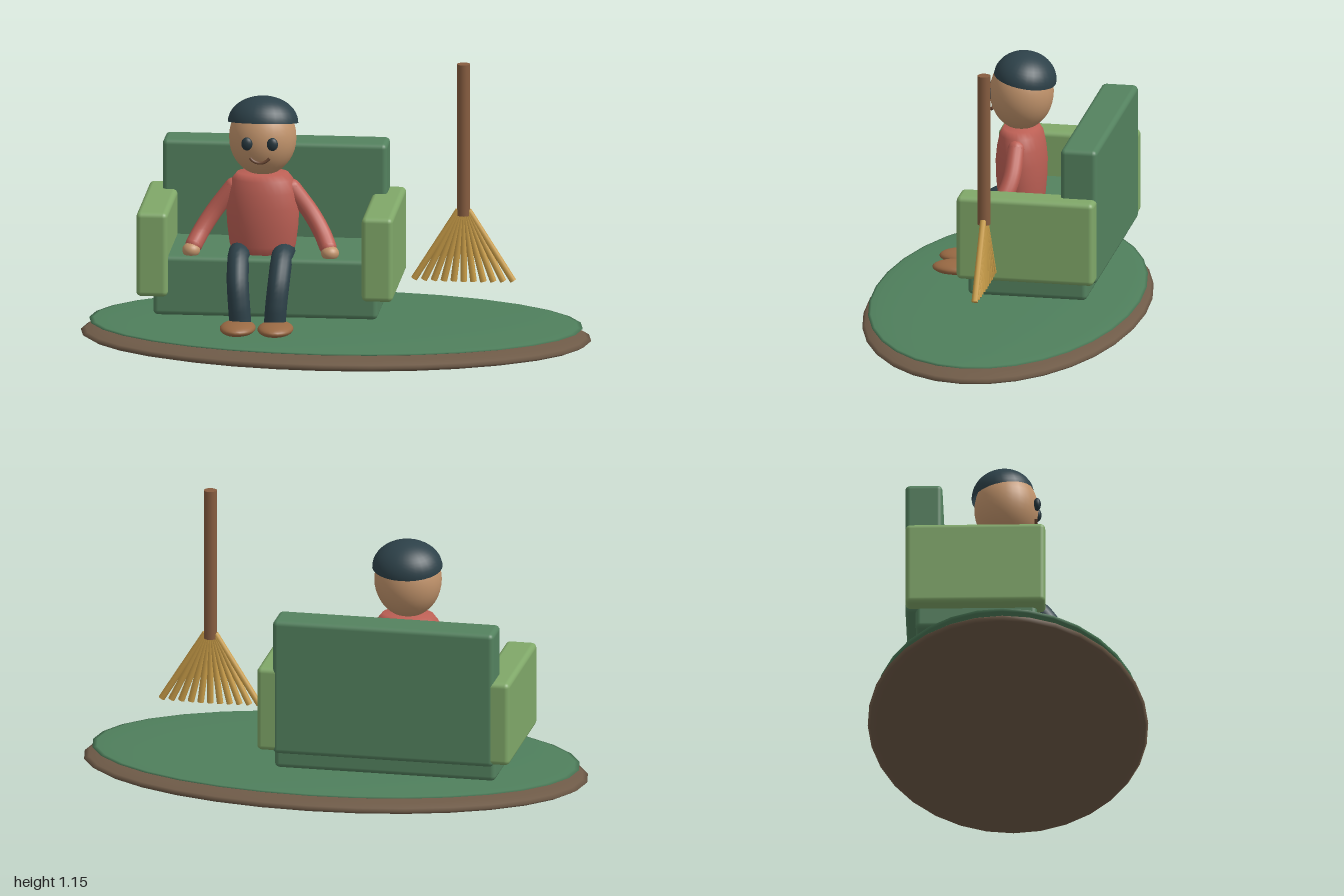
import * as THREE from 'three';
import { RoundedBoxGeometry } from 'three/addons/geometries/RoundedBoxGeometry.js';

const mat = (color) => new THREE.MeshStandardMaterial({ color });
const M = {
  earth: mat(0x6f5b48), rug: mat(0x4f7f5c), sofa: mat(0x54825f), arm: mat(0x80a869),
  skin: mat(0xc2946c), shirt: mat(0xbd6055), navy: mat(0x2d4149), eye: mat(0x26363d),
  shoe: mat(0x9a6a44), wood: mat(0x875d40), straw: mat(0xcda04a), mouth: mat(0x6e4a35),
};

function add(parent, name, geometry, material, x = 0, y = 0, z = 0) {
  const mesh = new THREE.Mesh(geometry, material);
  mesh.name = name;
  mesh.position.set(x, y, z);
  parent.add(mesh);
  return mesh;
}

const ellipsoid = (rx, ry, rz, w = 24, h = 16) => new THREE.SphereGeometry(1, w, h).scale(rx, ry, rz);

// Rounded box given by its limits on each axis
function block(parent, name, material, [x0, x1], [y0, y1], [z0, z1]) {
  const g = new RoundedBoxGeometry(x1 - x0, y1 - y0, z1 - z0, 3, 0.02);
  return add(parent, name, g, material, (x0 + x1) / 2, (y0 + y1) / 2, (z0 + z1) / 2);
}

// Round limb along a smooth path, with ball ends
function limb(parent, name, material, points, radius) {
  const pts = points.map((p) => new THREE.Vector3(...p));
  const curve = new THREE.CatmullRomCurve3(pts);
  add(parent, name, new THREE.TubeGeometry(curve, 16, radius, 14), material);
  for (const p of [pts[0], pts[pts.length - 1]]) {
    add(parent, name + 'End', ellipsoid(radius, radius, radius, 14, 10), material, p.x, p.y, p.z);
  }
}

// Straight rod between two points
function rod(parent, name, material, a, b, r0, r1, sides) {
  const start = new THREE.Vector3(...a), dir = new THREE.Vector3(...b).sub(start);
  const mesh = add(parent, name, new THREE.CylinderGeometry(r1, r0, dir.length(), sides), material);
  mesh.position.copy(start).addScaledVector(dir, 0.5);
  mesh.quaternion.setFromUnitVectors(new THREE.Vector3(0, 1, 0), dir.normalize());
}

function createGround() {
  const g = new THREE.Group();
  g.name = 'ground';
  add(g, 'earthBase', ellipsoid(1, 0.055, 0.547, 32, 16), M.earth, 0, 0.057);
  add(g, 'rug', ellipsoid(0.967, 0.018, 0.525, 32, 16), M.rug, 0, 0.105);
  return g;
}

function createSofa() {
  const g = new THREE.Group();
  g.name = 'sofa';
  block(g, 'seat', M.sofa, [-0.705, 0.175], [0.15, 0.388], [-0.345, 0.128]);
  block(g, 'backrest', M.sofa, [-0.705, 0.175], [0.22, 0.765], [-0.385, -0.24]);
  block(g, 'rightArmrest', M.arm, [-0.768, -0.645], [0.23, 0.567], [-0.383, 0.162]);
  block(g, 'leftArmrest', M.arm, [0.115, 0.238], [0.23, 0.567], [-0.383, 0.162]);
  return g;
}

function createFigure() {
  const g = new THREE.Group();
  g.name = 'figure';
  g.position.x = -0.287;

  // Torso, oval in plan
  const profile = [[0, 0.37], [0.115, 0.375], [0.13, 0.42], [0.14, 0.5], [0.143, 0.57],
    [0.135, 0.63], [0.12, 0.68], [0.1, 0.705], [0, 0.712]].map((p) => new THREE.Vector2(...p));
  add(g, 'torso', new THREE.LatheGeometry(profile, 28).scale(1, 1, 0.7), M.shirt);

  // Head, hair tilted back, face
  add(g, 'head', ellipsoid(0.132, 0.15, 0.125, 28, 20), M.skin, 0, 0.845, 0);
  const cap = new THREE.SphereGeometry(1, 28, 12, 0, Math.PI * 2, 0, Math.PI / 2).scale(0.138, 0.104, 0.123);
  const hair = add(g, 'hair', cap, M.navy, 0, 0.901, -0.013);
  hair.rotation.x = -0.18;
  hair.material = M.navy.clone();
  hair.material.side = THREE.DoubleSide;
  const smile = add(g, 'mouth', new THREE.TorusGeometry(0.045, 0.006, 8, 16, 2), M.mouth, 0, 0.813, 0.117);
  smile.rotation.z = -Math.PI / 2 - 1;

  for (const s of [-1, 1]) {
    const side = s > 0 ? 'left' : 'right';
    add(g, side + 'Eye', ellipsoid(0.022, 0.026, 0.015, 16, 12), M.eye, s * 0.05, 0.845, 0.121);
    limb(g, side + 'Arm', M.shirt,
      [[s * 0.115, 0.645, 0], [s * 0.19, 0.545, 0.005], [s * 0.235, 0.475, 0.03], [s * 0.262, 0.425, 0.065]], 0.034);
    add(g, side + 'Hand', ellipsoid(0.035, 0.03, 0.034), M.skin, s * 0.272, 0.405, 0.083);
    limb(g, side + 'Leg', M.navy,
      [[s * 0.085, 0.39, 0], [s * 0.085, 0.385, 0.1], [s * 0.08, 0.3, 0.178], [s * 0.073, 0.22, 0.2], [s * 0.068, 0.15, 0.202]], 0.043);
    add(g, side + 'Shoe', ellipsoid(0.07, 0.027, 0.101), M.shoe, s * 0.074, 0.134, 0.239);
  }
  return g;
}

function createBroom() {
  const g = new THREE.Group();
  g.name = 'broom';
  g.position.x = 0.5;
  rod(g, 'handle', M.wood, [0, 0.55, 0], [0, 1.157, 0], 0.026, 0.026, 12);
  // Fan of straws
  const count = 11;
  for (let i = 0; i < count; i++) {
    const t = (i / (count - 1)) * 2 - 1;
    rod(g, 'straw', M.straw, [t * 0.194, 0.285 + 0.006 * t * t, 0], [t * 0.02, 0.57, 0], 0.013, 0.012, 8);
  }
  return g;
}

export function createModel() {
  const model = new THREE.Group();
  model.name = 'sofaScene';
  model.add(createGround(), createSofa(), createFigure(), createBroom());
  return model;
}
